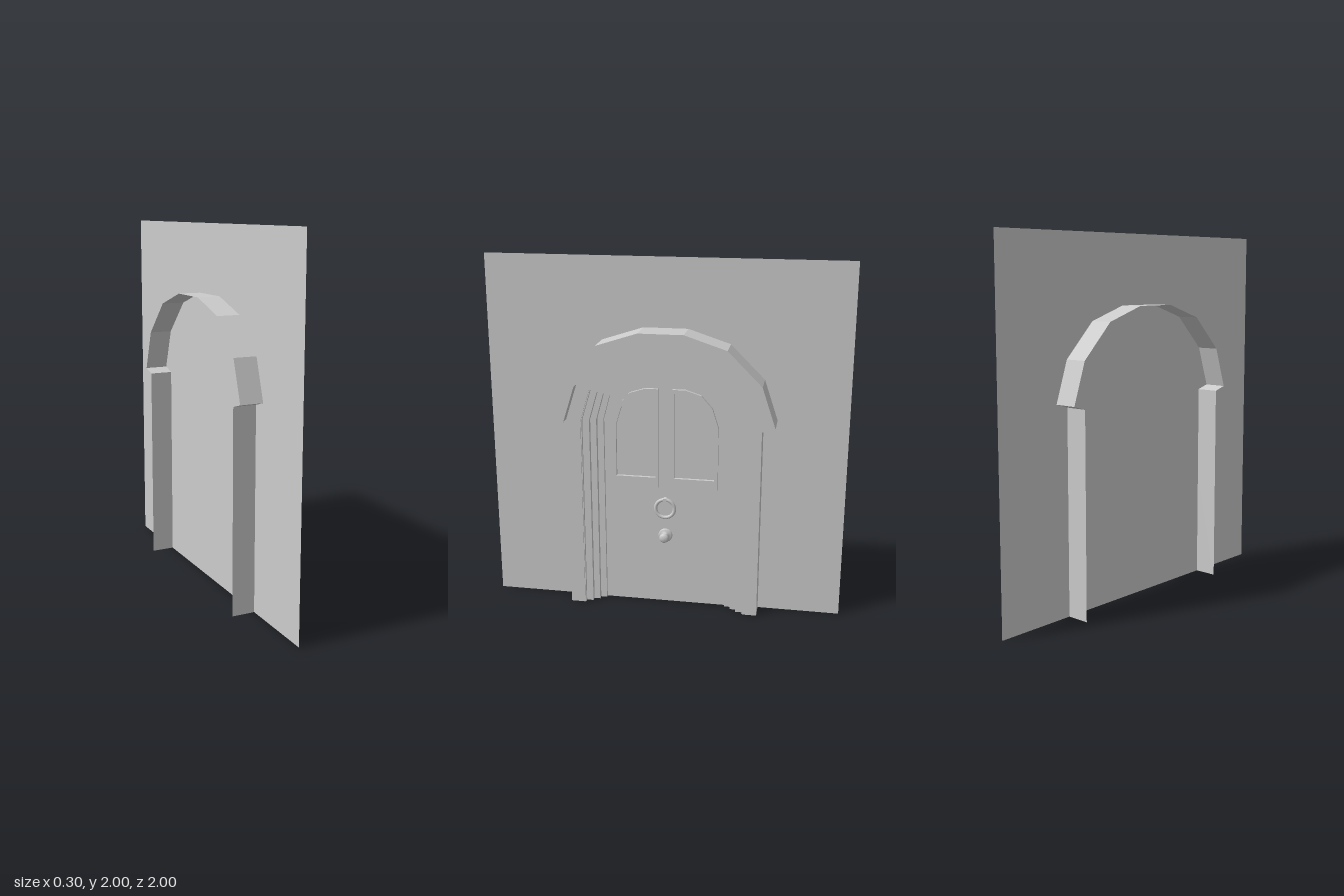
import * as THREE from 'three';

const mat = new THREE.MeshStandardMaterial({ color: 0xcccccc, flatShading: true, side: THREE.DoubleSide });
const smooth = new THREE.MeshStandardMaterial({ color: 0xcccccc });

const WALL = -0.02, DOOR = -0.012, BACK = -0.148, FRONT = 0.147, JAMB = 0.085;

// Half arches as [z, y], from the spring line to the crown
const HOOD = [[0.615, 1.134], [0.54, 1.358], [0.353, 1.545], [0.123, 1.62]];
const WIDE = [[0.54, 1.112], [0.476, 1.315], [0.302, 1.478], [0.107, 1.545]];
const NARROW = [[0.348, 1.10], [0.312, 1.235], [0.224, 1.332], [0.086, 1.364]];

const mirrored = half => [...half, ...half.map(([z, y]) => [-z, y]).reverse()];

// Arch between the wide and narrow ones, picked by its half width, with legs to the floor
function archWithLegs(r) {
  const f = (0.54 - r) / (0.54 - 0.348);
  const half = WIDE.map(([z, y], i) => [z + (NARROW[i][0] - z) * f, y + (NARROW[i][1] - y) * f]);
  return mirrored([[half[0][0], 0], ...half]);
}

// Skin through sections, each { x, path } with equally long paths
function loft(sections) {
  const pos = [];
  for (let s = 0; s < sections.length - 1; s++) {
    const A = sections[s], B = sections[s + 1];
    for (let i = 0; i < A.path.length - 1; i++) {
      const p = (S, k) => [S.x, S.path[k][1], S.path[k][0]];
      const a = p(A, i), b = p(A, i + 1), c = p(B, i + 1), d = p(B, i);
      pos.push(...a, ...b, ...c, ...a, ...c, ...d);
    }
  }
  const g = new THREE.BufferGeometry();
  g.setAttribute('position', new THREE.Float32BufferAttribute(pos, 3));
  g.computeVertexNormals();
  return g;
}

const toShape = pts => new THREE.Shape(pts.map(([z, y]) => new THREE.Vector2(-z, y)));

export function createModel() {
  const model = new THREE.Group();
  const add = (name, geometry, material = mat, x = 0, y = 0, z = 0) => {
    const m = new THREE.Mesh(geometry, material);
    m.name = name;
    m.position.set(x, y, z);
    model.add(m);
    return m;
  };

  // Wall sheet and door leaf, both facing +x
  add('wall', new THREE.PlaneGeometry(2, 2).rotateY(Math.PI / 2), mat, WALL, 1);
  add('door', new THREE.ShapeGeometry(toShape(archWithLegs(0.348))).rotateY(Math.PI / 2), mat, DOOR);

  // Stepped surround, from the broad outer face in to the door
  const steps = [[0.54, JAMB], [0.46, JAMB], [0.46, 0.078], [0.455, 0.078], [0.455, 0.06], [0.417, 0.06],
    [0.417, 0.033], [0.383, 0.033], [0.383, 0.006], [0.348, 0.006], [0.348, DOOR]];
  add('steppedSurround', loft(steps.map(([r, x]) => ({ x, path: archWithLegs(r) }))));

  // Projecting hood over the arch, open at the back
  const outer = mirrored(HOOD), inner = mirrored(WIDE);
  add('archHood', loft([
    { x: BACK, path: outer }, { x: FRONT, path: outer },
    { x: FRONT, path: inner }, { x: JAMB, path: inner },
  ]));

  for (const side of [1, -1]) {
    const label = side > 0 ? 'left' : 'right';
    const flip = pts => pts.map(([z, y]) => [z * side, y]);

    // Underside of the hood end and outer side of the pillar
    const end = flip([HOOD[0], WIDE[0]]);
    add(label + 'HoodEnd', loft([{ x: BACK, path: end }, { x: FRONT, path: end }]));
    const pillar = flip([[0.54, 0], WIDE[0]]);
    add(label + 'PillarSide', loft([{ x: BACK, path: pillar }, { x: JAMB, path: pillar }]));

    // Raised window moulding
    const frame = toShape(flip([[0.297, 0.71], [0.04, 0.71], [0.04, 1.285], [0.112, 1.285],
      [0.2, 1.257], [0.262, 1.187], [0.297, 1.075]]));
    frame.holes.push(toShape(flip([[0.278, 0.77], [0.053, 0.77], [0.053, 1.262], [0.118, 1.262],
      [0.193, 1.23], [0.246, 1.176], [0.278, 1.07]])));
    add(label + 'WindowFrame', new THREE.ExtrudeGeometry(frame, { depth: 0.018, bevelEnabled: false })
      .rotateY(Math.PI / 2), mat, DOOR);
  }

  // Ring knocker with its small mount
  add('knockerRing', new THREE.TorusGeometry(0.054, 0.01, 10, 32).rotateY(Math.PI / 2), smooth, 0.006, 0.587);
  add('knockerMount', new THREE.BoxGeometry(0.03, 0.024, 0.018), mat, 0.001, 0.637);

  // Turned door knob
  const profile = [[0.04, 0], [0.04, 0.006], [0.032, 0.01], [0.014, 0.014], [0.012, 0.032],
    [0.022, 0.038], [0.028, 0.047], [0.025, 0.057], [0.014, 0.063], [0, 0.064]];
  add('doorKnob', new THREE.LatheGeometry(profile.map(p => new THREE.Vector2(...p)), 24)
    .rotateZ(-Math.PI / 2), smooth, DOOR, 0.417);

  return model;
}
